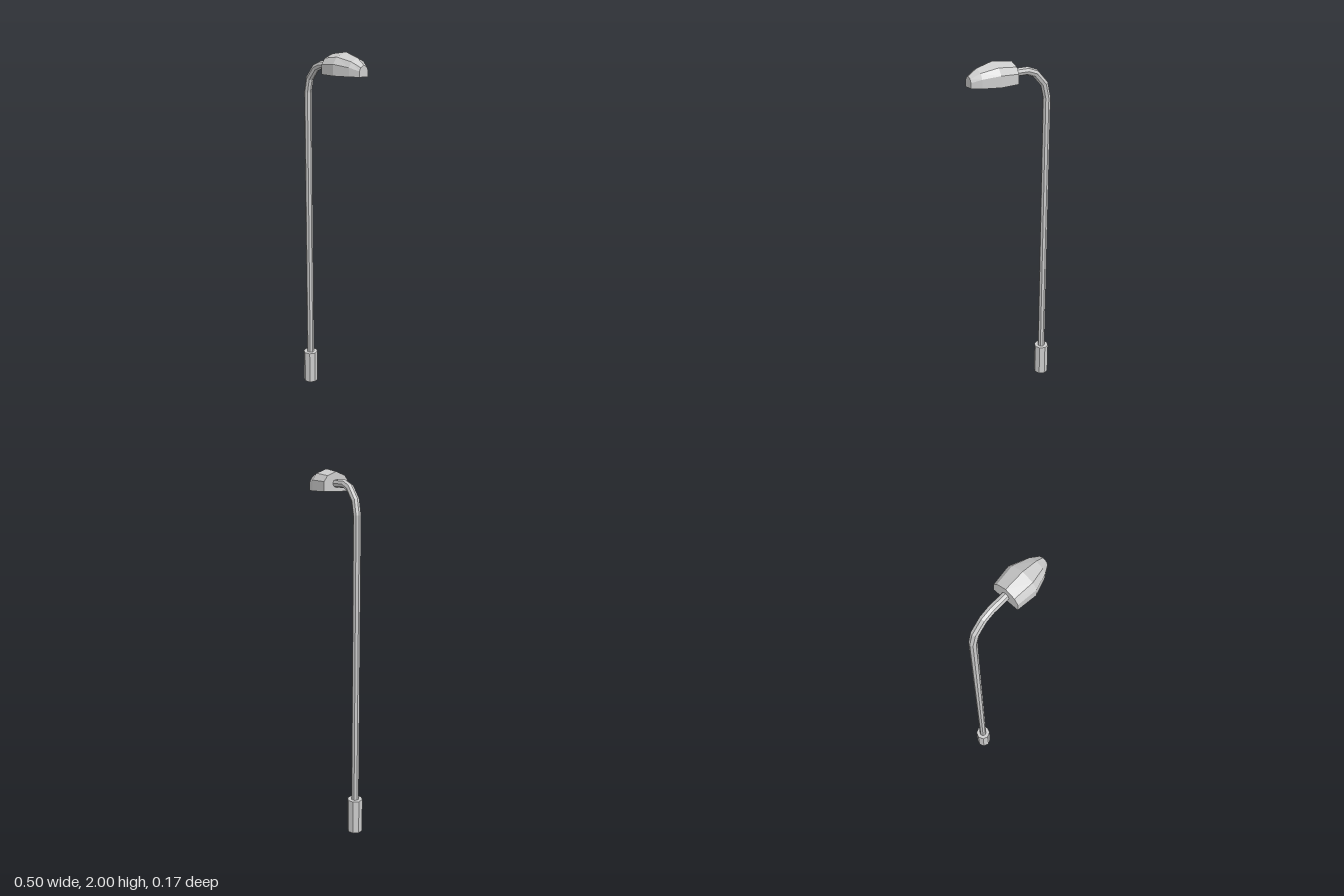
import * as THREE from 'three';

const material = new THREE.MeshStandardMaterial({ color: 0xcccccc, flatShading: true, side: THREE.DoubleSide });

function part(name, geometry) {
  const mesh = new THREE.Mesh(geometry, material);
  mesh.name = name;
  return mesh;
}

// Skin a list of closed rings (counter-clockwise about the sweep direction) and cap both ends.
function loft(rings) {
  const points = [];
  const n = rings[0].length;
  for (let i = 0; i < rings.length - 1; i++) {
    for (let j = 0; j < n; j++) {
      const k = (j + 1) % n;
      const a = rings[i][j], b = rings[i][k], c = rings[i + 1][k], d = rings[i + 1][j];
      points.push(a, b, c, a, c, d);
    }
  }
  const first = rings[0], last = rings[rings.length - 1];
  for (let j = 1; j < n - 1; j++) {
    points.push(first[0], first[j + 1], first[j], last[0], last[j], last[j + 1]);
  }
  const geometry = new THREE.BufferGeometry().setFromPoints(points);
  geometry.computeVertexNormals();
  return geometry;
}

// Round bar along a path in the xy plane, with mitred joints.
function bentBar(path, radius, sides) {
  const pts = path.map(([x, y]) => new THREE.Vector2(x, y));
  const rings = pts.map((p, i) => {
    const before = pts[Math.max(i - 1, 0)], after = pts[Math.min(i + 1, pts.length - 1)];
    const dirIn = (i > 0 ? p.clone().sub(before) : after.clone().sub(p)).normalize();
    const dirOut = (i < pts.length - 1 ? after.clone().sub(p) : dirIn.clone()).normalize();
    const t = dirIn.clone().add(dirOut).normalize();
    const miter = radius / t.dot(dirIn);
    return Array.from({ length: sides }, (_, j) => {
      const a = (j / sides) * Math.PI * 2;
      const r = Math.cos(a) * miter;
      return new THREE.Vector3(p.x - t.y * r, p.y + t.x * r, Math.sin(a) * radius);
    });
  });
  return loft(rings);
}

export function createModel() {
  const group = new THREE.Group();
  group.name = 'streetLamp';
  const poleX = -0.21;

  // Octagonal foot sleeve, open underneath
  const baseHeight = 0.195, baseRadius = 0.043;
  const base = part('base', new THREE.CylinderGeometry(baseRadius, baseRadius, baseHeight, 8, 1, true));
  base.position.set(poleX, baseHeight / 2, 0);
  const baseTop = part('baseTop', new THREE.CircleGeometry(baseRadius, 8).rotateX(-Math.PI / 2));
  baseTop.position.set(poleX, baseHeight, 0);

  // Pole bending over into the horizontal arm
  const pole = part('pole', bentBar([
    [poleX, baseHeight], [poleX, 1.773], [-0.192, 1.848],
    [-0.137, 1.908], [-0.087, 1.926], [0.02, 1.926],
  ], 0.021, 8));

  // Lamp head: one faceted profile scaled along x
  const profile = [[1, 0], [0.8, 0.71], [0.5, 1], [0, 1], [0, -1], [0.5, -1], [0.8, -0.71]];
  const sections = [ // x, half width, height
    [0.005, 0.073, 0.102], [0.113, 0.085, 0.115], [0.202, 0.056, 0.09], [0.25, 0.029, 0.058],
  ];
  const head = part('lampHead', loft(sections.map(([x, w, h]) =>
    profile.map(([y, z]) => new THREE.Vector3(x, 1.885 + y * h, z * w)))));

  group.add(base, baseTop, pole, head);
  return group;
}
